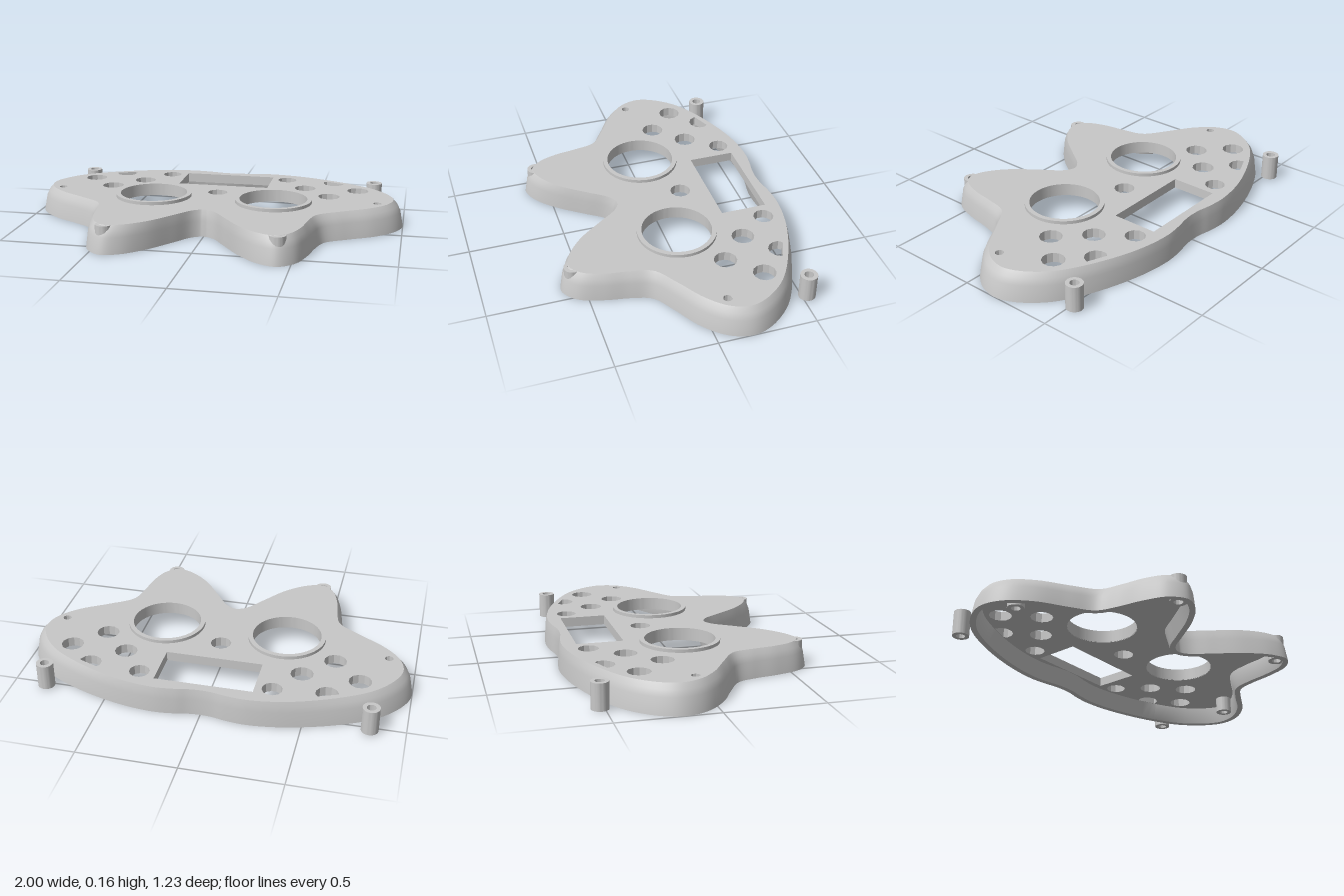
import * as THREE from 'three';
import { toCreasedNormals } from 'three/addons/utils/BufferGeometryUtils.js';

const TOP = 0.14, UNDER = 0.09, N = 240;

// Half outlines [x, z], from the back centre round the left side to the front notch
const BASE = [[0, -0.588], [0.06, -0.592], [0.13, -0.606], [0.24, -0.615], [0.43, -0.59], [0.68, -0.51], [0.86, -0.41],
  [0.97, -0.28], [1, -0.18], [0.97, -0.07], [0.87, 0.04], [0.72, 0.13], [0.62, 0.2], [0.585, 0.3], [0.56, 0.43],
  [0.515, 0.555], [0.435, 0.615], [0.34, 0.585], [0.235, 0.49], [0.13, 0.35], [0.055, 0.25], [0, 0.225]];
const LIP = [[0, -0.576], [0.06, -0.58], [0.13, -0.593], [0.24, -0.601], [0.43, -0.572], [0.67, -0.48], [0.83, -0.38],
  [0.92, -0.265], [0.945, -0.18], [0.918, -0.085], [0.83, 0.01], [0.69, 0.1], [0.575, 0.185], [0.545, 0.3],
  [0.525, 0.42], [0.485, 0.52], [0.425, 0.567], [0.345, 0.548], [0.235, 0.465], [0.13, 0.33], [0.055, 0.232], [0, 0.205]];

// Mirrors a half outline and samples it as a smooth closed loop
function loop(half) {
  const mirrored = half.slice(1, -1).reverse().map(([x, z]) => [-x, z]);
  const curve = new THREE.CatmullRomCurve3(
    [...half, ...mirrored].map(([x, z]) => new THREE.Vector3(x, 0, z)), true, 'centripetal');
  return Array.from({ length: N }, (_, i) => {
    const p = curve.getPoint(i / N);
    return [p.x, p.z];
  });
}

// Moves every point of a loop inwards by d
function inset(pts, d) {
  return pts.map(([x, z], i) => {
    const a = pts[(i + N - 1) % N], b = pts[(i + 1) % N];
    const dx = b[0] - a[0], dz = b[1] - a[1], l = Math.hypot(dx, dz);
    return [x - (dz / l) * d, z + (dx / l) * d];
  });
}

// Skins a ring of loops into a closed wall
function wallGeometry(rings) {
  const pos = [], index = [], R = rings.length;
  rings.forEach(({ pts, y }) => pts.forEach(([x, z]) => pos.push(x, y, z)));
  for (let k = 0; k < R; k++) {
    for (let i = 0; i < N; i++) {
      const j = (i + 1) % N, k2 = (k + 1) % R;
      const a = k * N + i, b = k2 * N + i, c = k * N + j, d = k2 * N + j;
      index.push(a, b, c, c, b, d);
    }
  }
  const g = new THREE.BufferGeometry();
  g.setAttribute('position', new THREE.Float32BufferAttribute(pos, 3));
  g.setIndex(index);
  return toCreasedNormals(g.toNonIndexed(), 0.7);
}

// Extrudes a plan shape upwards from y0 to y1
function slab(shape, y0, y1, curveSegments = 48) {
  const g = new THREE.ExtrudeGeometry(shape, { depth: y1 - y0, bevelEnabled: false, curveSegments });
  g.rotateX(-Math.PI / 2).translate(0, y0, 0);
  return toCreasedNormals(g, 0.4);
}

const plan = pts => pts.map(([x, z]) => new THREE.Vector2(x, -z));

function circle(x, z, r, n) {
  return Array.from({ length: n }, (_, i) => {
    const a = ((i + 0.5) / n) * Math.PI * 2;
    return [x + r * Math.cos(a), z + r * Math.sin(a)];
  });
}

function tube(outer, inner, y0, y1) {
  const s = new THREE.Shape().absarc(0, 0, outer, 0, Math.PI * 2);
  s.holes.push(new THREE.Path().absarc(0, 0, inner, 0, Math.PI * 2, true));
  return slab(s, y0, y1, outer > 0.1 ? 64 : 24);
}

export function createModel() {
  const group = new THREE.Group();
  const grey = new THREE.MeshStandardMaterial({ color: 0xc8c8c8 });
  grey.name = 'shell grey';
  const add = (name, geometry, x = 0, z = 0) => {
    const m = new THREE.Mesh(geometry, grey);
    m.name = name;
    m.position.set(x, 0, z);
    group.add(m);
  };

  // Hollow side wall with a chamfered shoulder
  const base = loop(BASE), lip = loop(LIP);
  const blend = t => base.map(([x, z], i) => [x + (lip[i][0] - x) * t, z + (lip[i][1] - z) * t]);
  add('sideWall', wallGeometry([
    { pts: base, y: 0 },
    { pts: blend(0.3), y: 0.083 },
    { pts: blend(0.58), y: 0.114 },
    { pts: lip, y: TOP },
    { pts: inset(base, 0.055), y: UNDER },
    { pts: inset(base, 0.03), y: 0 },
  ]));

  // Face plate with its openings; the outline runs anticlockwise so the hole walls face inwards
  const face = new THREE.Shape(plan(lip).reverse());
  const cut = pts => face.holes.push(new THREE.Path(plan(pts)));
  cut([[-0.25, -0.53], [0.25, -0.53], [0.25, -0.29], [-0.25, -0.29]]);
  cut(circle(0, -0.145, 0.053, 12));
  for (const s of [-1, 1]) {
    cut(circle(s * 0.325, -0.017, 0.181, 64));
    cut(circle(s * 0.337, -0.485, 0.052, 12));
    for (const [x, z] of [[0.603, -0.177], [0.457, -0.325], [0.747, -0.325]]) cut(circle(s * x, z, 0.058, 12));
    // The rear button opening is cut short by the wall
    cut(circle(0.603, -0.464, 0.058, 12)
      .map(([x, z]) => [s * x, Math.max(z, -0.5 + (x - 0.55) * 0.4)]));
    cut(circle(s * 0.865, -0.09, 0.022, 10));
  }
  add('facePlate', slab(face, UNDER, TOP));

  // Thumbstick collars and screw posts
  const collar = tube(0.203, 0.179, UNDER + 0.002, 0.157);
  const post = tube(0.043, 0.023, 0.006, 0.139);
  for (const [side, s] of [['left', 1], ['right', -1]]) {
    add(side + 'StickCollar', collar, s * 0.325, -0.017);
    add(side + 'RearPost', post, s * 0.825, -0.524);
    add(side + 'SidePost', post, s * 0.865, -0.09);
    add(side + 'GripPost', post, s * 0.43, 0.552);
  }
  return group;
}
